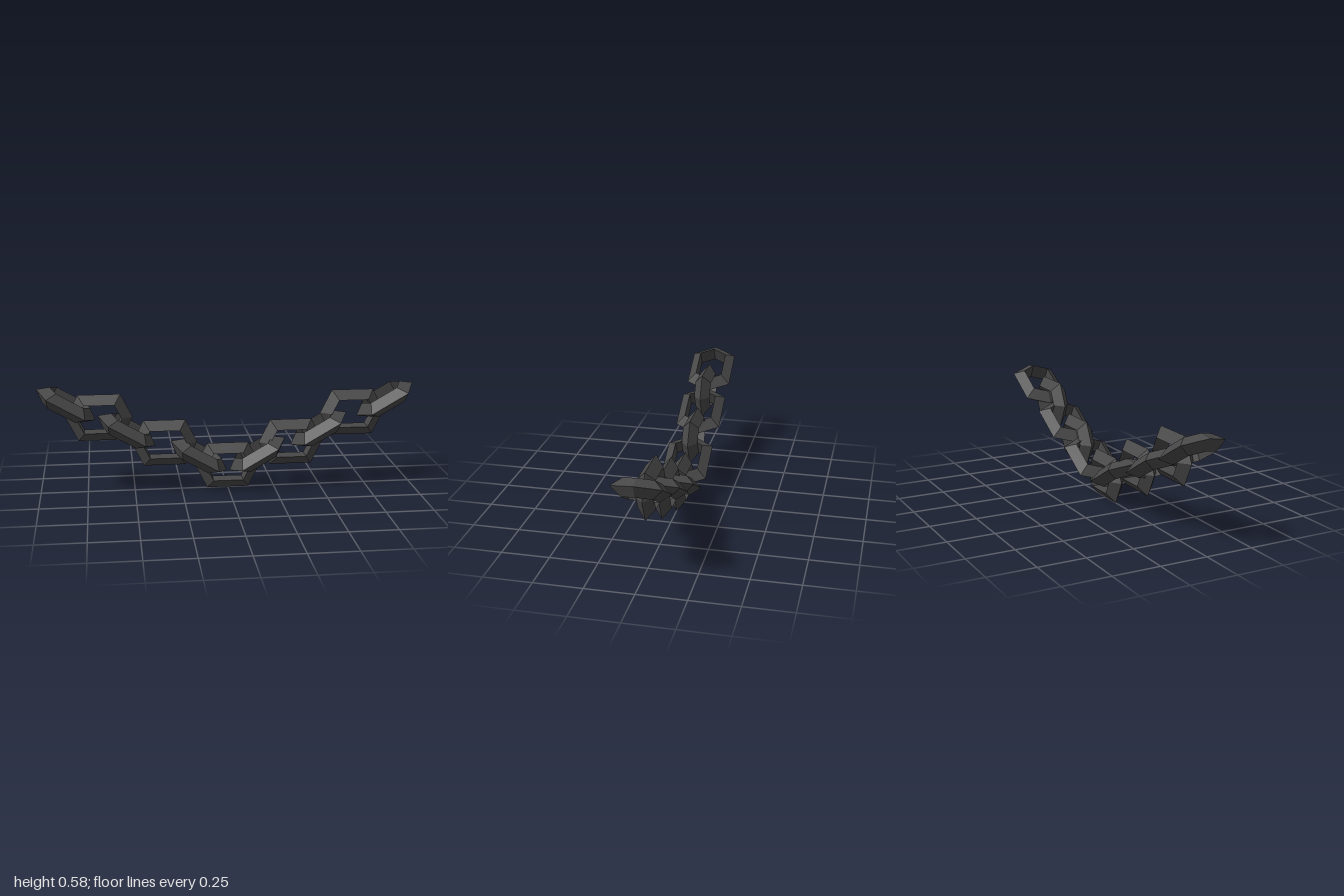
import * as THREE from 'three';

// Six-sided elongated link in the XY plane with a triangular section:
// an outer ridge at z = 0 and a flat inner wall.
function linkGeometry() {
  const hexagon = (tip, flat, h) => [[tip, 0], [flat, h], [-flat, h], [-tip, 0], [-flat, -h], [flat, -h]];
  const outer = hexagon(0.174, 0.112, 0.124);
  const inner = hexagon(0.117, 0.079, 0.075);
  const half = 0.0445;
  const positions = [];
  const index = [];
  for (let i = 0; i < 6; i++) {
    positions.push(...outer[i], 0, ...inner[i], half, ...inner[i], -half);
    const n = (i + 1) % 6;
    for (let k = 0; k < 3; k++) {
      const m = (k + 1) % 3;
      const a = i * 3 + k, b = n * 3 + k, c = n * 3 + m, d = i * 3 + m;
      index.push(a, b, c, a, c, d);
    }
  }
  const g = new THREE.BufferGeometry();
  g.setAttribute('position', new THREE.Float32BufferAttribute(positions, 3));
  g.setIndex(index);
  const flatGeometry = g.toNonIndexed();
  flatGeometry.computeVertexNormals();
  return flatGeometry;
}

export function createModel() {
  const chain = new THREE.Group();
  chain.name = 'chain';
  const iron = new THREE.MeshStandardMaterial({ color: 0x484848 });
  iron.name = 'dark iron';

  const upright = linkGeometry();
  const lying = upright.clone().rotateX(Math.PI / 2);

  const addLink = (name, geometry, x, y, angle) => {
    const link = new THREE.Mesh(geometry, iron);
    link.name = name;
    link.position.set(x, y, 0);
    link.rotation.z = angle;
    chain.add(link);
  };

  // Upright links
  [[-0.679, 0.408], [-0.338, 0.26], [0, 0.125], [0.341, 0.245], [0.674, 0.4]]
    .forEach(([x, y], i) => addLink(`uprightLink${i + 1}`, upright, x, y, 0));

  // Lying links, each sloping down towards the middle of the chain
  [[-0.85, 0.482], [-0.538, 0.332], [-0.156, 0.181], [0.16, 0.181], [0.492, 0.313], [0.85, 0.466]]
    .forEach(([x, y], i) => addLink(`slopingLink${i + 1}`, lying, x, y, Math.sign(x) * Math.PI / 6));

  return chain;
}
